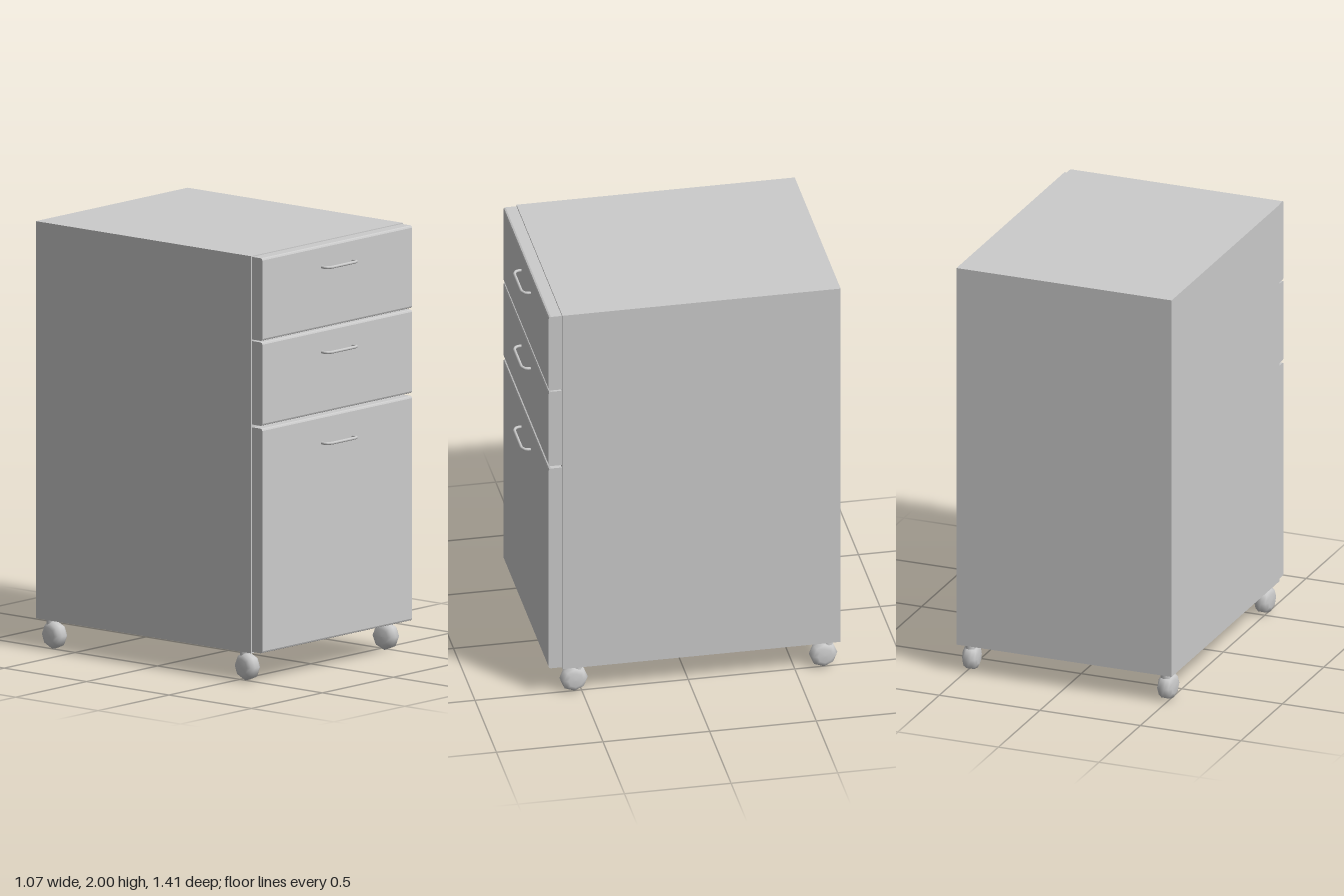
import * as THREE from 'three';

const material = new THREE.MeshStandardMaterial({ color: 0xcccccc });

function addMesh(parent, name, geometry, x = 0, y = 0, z = 0) {
  const mesh = new THREE.Mesh(geometry, material);
  mesh.name = name;
  mesh.position.set(x, y, z);
  parent.add(mesh);
  return mesh;
}

// Drawer front: side profile with softened front edges, extruded across the width
function drawerFrontGeometry(bottom, top) {
  const width = 1.056, back = 0.598, front = 0.66, c = 0.01;
  const profile = new THREE.Shape([
    [-back, bottom], [-back, top], [-front + c, top], [-front + c * 0.3, top - c * 0.3],
    [-front, top - c], [-front, bottom + c], [-front + c * 0.3, bottom + c * 0.3], [-front + c, bottom],
  ].map(([x, y]) => new THREE.Vector2(x, y)));
  return new THREE.ExtrudeGeometry(profile, { depth: width, bevelEnabled: false })
    .translate(0, 0, -width / 2)
    .rotateY(Math.PI / 2);
}

// Bowed wire pull with bent ends
function handleGeometry() {
  const points = [
    [-0.108, 0.655], [-0.108, 0.675], [-0.102, 0.688], [-0.083, 0.698],
    [0.083, 0.698], [0.102, 0.688], [0.108, 0.675], [0.108, 0.655],
  ].map(([x, z]) => new THREE.Vector3(x, 0, z));
  const path = new THREE.CurvePath();
  for (let i = 1; i < points.length; i++) path.add(new THREE.LineCurve3(points[i - 1], points[i]));
  return new THREE.TubeGeometry(path, 48, 0.007, 8);
}

// Rounded eight-sided wheel with its axle along x
function wheelGeometry() {
  const profile = [
    [0, -0.038], [0.035, -0.037], [0.054, -0.029], [0.065, -0.012],
    [0.065, 0.012], [0.054, 0.029], [0.035, 0.037], [0, 0.038],
  ].map(([r, y]) => new THREE.Vector2(r, y));
  return new THREE.LatheGeometry(profile, 8).rotateZ(Math.PI / 2);
}

export function createModel() {
  const model = new THREE.Group();
  model.name = 'drawerCabinet';

  // Cabinet body
  addMesh(model, 'cabinetBody', new THREE.BoxGeometry(1.07, 1.86, 1.305), 0, 1.07, -0.0555);

  // Two shallow drawers above one deep drawer
  const drawers = [
    { name: 'topDrawer', bottom: 1.609, top: 1.996, handle: 1.895 },
    { name: 'middleDrawer', bottom: 1.211, top: 1.602, handle: 1.497 },
    { name: 'deepDrawer', bottom: 0.146, top: 1.198, handle: 1.071 },
  ];
  for (const d of drawers) {
    const drawer = new THREE.Group();
    drawer.name = d.name;
    addMesh(drawer, 'drawerFront', drawerFrontGeometry(d.bottom, d.top));
    addMesh(drawer, 'handle', handleGeometry(), 0, d.handle, 0);
    model.add(drawer);
  }

  // Four casters
  for (const side of [-1, 1]) {
    for (const [end, z, stemOffset] of [['front', 0.535, -0.015], ['back', -0.635, -0.02]]) {
      const caster = new THREE.Group();
      caster.name = `${end}${side > 0 ? 'Left' : 'Right'}Caster`;
      caster.position.set(side * 0.488, 0, z);
      addMesh(caster, 'wheel', wheelGeometry(), 0, 0.066, 0);
      addMesh(caster, 'stem', new THREE.CylinderGeometry(0.025, 0.025, 0.07, 12), 0, 0.11, stemOffset);
      caster.rotation.y = side * 0.1;
      model.add(caster);
    }
  }
  return model;
}
